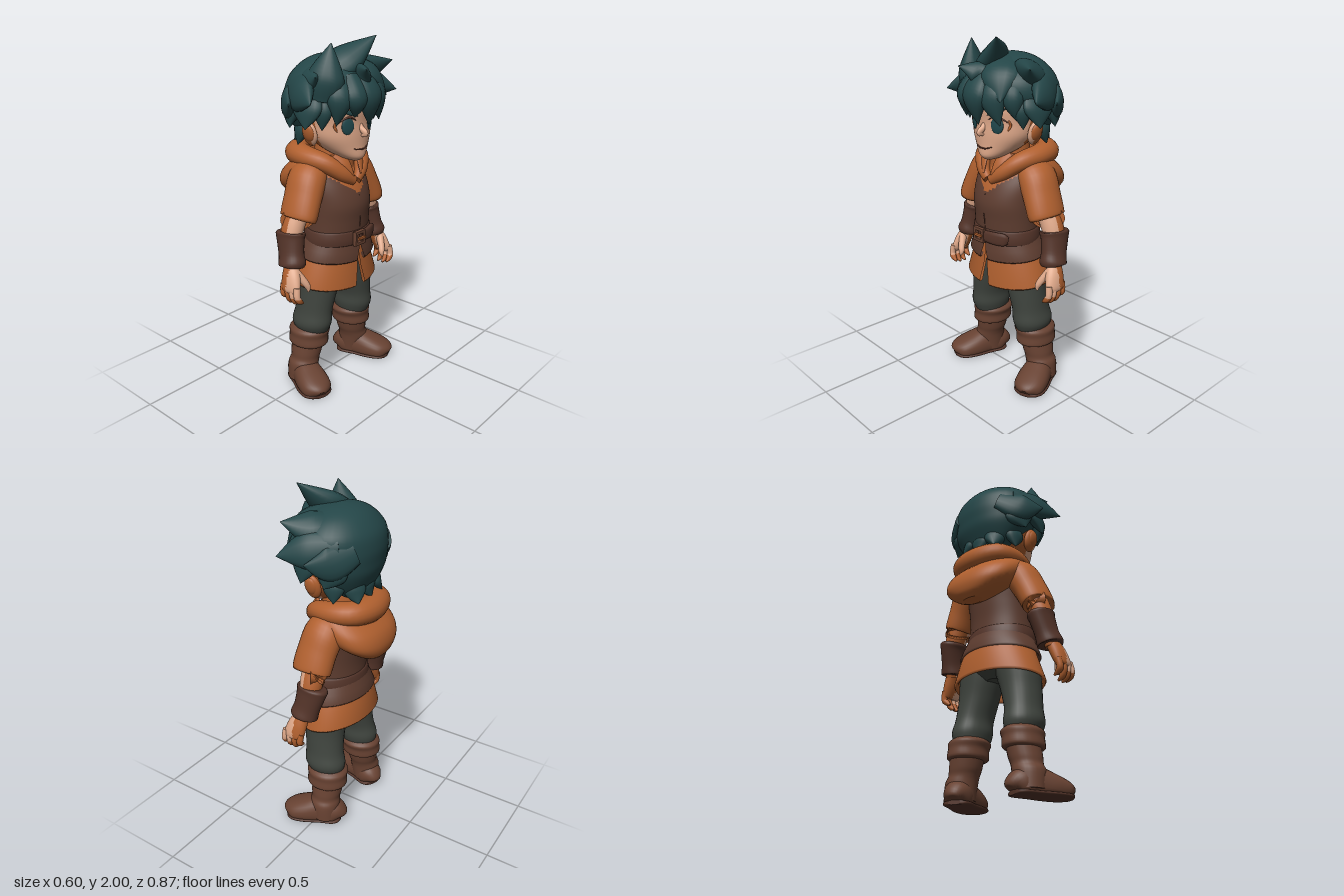
import * as THREE from 'three';

const mat = (name, color, side = THREE.FrontSide) => {
  const m = new THREE.MeshStandardMaterial({ color, side });
  m.name = name;
  return m;
};
const V = (x, y, z) => new THREE.Vector3(x, y, z);
const power = (v, e) => Math.sign(v) * Math.abs(v) ** e;

// Smoothly subdivide rows of numbers
function spline(rows, n) {
  const out = [];
  for (let i = 0; i < rows.length - 1; i++) {
    const p = [rows[Math.max(i - 1, 0)], rows[i], rows[i + 1], rows[Math.min(i + 2, rows.length - 1)]];
    for (let k = 0; k < n; k++) {
      const t = k / n;
      out.push(rows[i].map((_, c) => {
        const [a, b, d, e] = p.map((r) => r[c]);
        return b + 0.5 * t * (d - a + t * (2 * a - 5 * b + 4 * d - e + t * (3 * (b - d) + e - a)));
      }));
    }
  }
  out.push(rows[rows.length - 1]);
  return out;
}

// Skin over rounded sections [x, y, z, width, depth, frontGap]; flat = horizontal sections listed upward
function sweep(rows, { flat = false, ref = V(0, 0, 1), seg = 28, sub = 5, open = false, tilt = 0, pow = 1, floor = -1 } = {}) {
  const r = spline(rows, sub), pos = [], idx = [], cols = open ? seg + 1 : seg;
  const ctr = r.map((q) => V(q[0], q[1], q[2]));
  r.forEach((q, i) => {
    const T = flat ? V(0, 1, 0) : ctr[Math.min(i + 1, r.length - 1)].clone().sub(ctr[Math.max(i - 1, 0)]).normalize();
    const S = T.clone().cross(ref).normalize(), O = S.clone().cross(T);
    const gap = open ? q[5] : 0;
    for (let j = 0; j < cols; j++) {
      const th = gap + (j / seg) * (Math.PI * 2 - 2 * gap);
      const p = ctr[i].clone().addScaledVector(S, Math.max(q[3], 0.001) * power(Math.sin(th), pow))
        .addScaledVector(O, Math.max(q[4], 0.001) * power(Math.cos(th), pow));
      pos.push(p.x, Math.max(p.y - tilt * p.z, floor), p.z);
    }
  });
  for (let i = 0; i < r.length - 1; i++) for (let j = 0; j < seg; j++) {
    const a = i * cols + j, b = i * cols + (j + 1) % cols, c = b + cols, d = a + cols;
    idx.push(a, b, d, b, c, d);
  }
  if (!open) for (const e of [0, r.length - 1]) {
    const base = pos.length / 3;
    pos.push(...pos.slice(e * cols * 3, (e + 1) * cols * 3), ctr[e].x, ctr[e].y, ctr[e].z);
    for (let j = 0; j < seg; j++) {
      const a = base + j, b = base + (j + 1) % seg;
      idx.push(...(e ? [a, b, base + seg] : [b, a, base + seg]));
    }
  }
  const g = new THREE.BufferGeometry();
  g.setAttribute('position', new THREE.Float32BufferAttribute(pos, 3));
  g.setIndex(idx);
  g.computeVertexNormals();
  return g;
}

// Split faces into two material groups by a rule on the face centre
function paint(g, rule) {
  const ix = g.index.array, p = g.attributes.position, sets = [[], []];
  for (let i = 0; i < ix.length; i += 3) {
    const t = [ix[i], ix[i + 1], ix[i + 2]], c = V(0, 0, 0);
    t.forEach((k) => c.add(V(p.getX(k), p.getY(k), p.getZ(k)).divideScalar(3)));
    sets[rule(c) ? 1 : 0].push(...t);
  }
  g.setIndex([...sets[0], ...sets[1]]);
  g.addGroup(0, sets[0].length, 0);
  g.addGroup(sets[0].length, sets[1].length, 1);
  return g;
}

export function createModel() {
  const hair = mat('hair teal', 0x244648), skin = mat('skin', 0xe0a98a);
  const orange = mat('tunic orange', 0xb0602f, THREE.DoubleSide), vest = mat('vest brown', 0x5d3c2f, THREE.DoubleSide);
  const leather = mat('dark leather', 0x543429), boot = mat('boot brown', 0x684232);
  const pants = mat('trouser grey', 0x40453f), eye = mat('eye teal', 0x20474c), line = mat('face line', 0x5a3226);

  const body = new THREE.Group();
  body.name = 'figure';
  const add = (name, geo, m) => {
    const o = new THREE.Mesh(geo, m);
    o.name = name;
    body.add(o);
    return o;
  };
  const ball = (name, m, p, s, rule) => {
    const g = new THREE.SphereGeometry(1, 24, 16);
    const o = add(name, rule ? paint(g, rule) : g, m);
    o.position.set(...p);
    o.scale.set(...s);
    return o;
  };

  // Head and face
  const head = add('head', paint(sweep([[0, 1.345, 0.15, 0.03, 0.035], [0, 1.368, 0.122, 0.078, 0.083], [0, 1.42, 0.07, 0.142, 0.133],
    [0, 1.48, 0.04, 0.186, 0.162], [0, 1.55, 0.02, 0.203, 0.178], [0, 1.65, 0, 0.22, 0.2], [0, 1.8, 0, 0.18, 0.16], [0, 1.86, 0, 0.06, 0.06]],
  { flat: true, seg: 40 }), (c) => c.z < 0.05), [skin, orange]);
  const ray = new THREE.Raycaster();
  const onFace = (x, y) => {
    ray.set(V(x, y, 1), V(0, 0, -1));
    return ray.intersectObject(head)[0].point.z;
  };
  const stroke = (name, m, pts, w) => add(name, sweep(pts.map(([x, y], i) =>
    [x, y, onFace(x, y) + 0.001, i === 0 || i === pts.length - 1 ? 0.002 : w, 0.005]), { seg: 8 }), m);
  add('nose', sweep([[0, 1.55, 0.18, 0.012, 0.014], [0, 1.52, 0.2, 0.016, 0.016], [0, 1.496, 0.226, 0.012, 0.018],
    [0, 1.484, 0.205, 0.012, 0.008]], { seg: 14 }), skin);
  stroke('mouth', line, [[-0.055, 1.417], [-0.02, 1.41], [0.02, 1.41], [0.06, 1.422]], 0.004);
  for (const s of [1, -1]) {
    ball('eye', eye, [s * 0.09, 1.542, onFace(s * 0.09, 1.542)], [0.036, 0.045, 0.008]).rotation.y = s * 0.42;
    stroke('eyelash', line, [[s * 0.042, 1.57], [s * 0.09, 1.59], [s * 0.142, 1.56]], 0.006);
    stroke('eyeCorner', orange, [[s * 0.145, 1.572], [s * 0.15, 1.545], [s * 0.14, 1.515]], 0.011);
    stroke('eyebrow', hair, [[s * 0.035, 1.592], [s * 0.08, 1.612], [s * 0.14, 1.635]], 0.013);
    ball('ear', [skin, orange], [s * 0.222, 1.505, 0.03], [0.026, 0.07, 0.048], (c) => c.z < 0.35).rotation.z = -s * 0.25;
    ball('innerEar', orange, [s * 0.235, 1.51, 0.034], [0.02, 0.052, 0.038]).rotation.z = -s * 0.25;
  }

  // Hair cap and pointed locks
  add('hairCap', sweep([[0, 1.44, -0.1, 0.12, 0.06], [0, 1.5, -0.08, 0.185, 0.11], [0, 1.57, -0.06, 0.235, 0.16], [0, 1.63, -0.03, 0.265, 0.2],
    [0, 1.7, 0, 0.28, 0.235], [0, 1.78, 0.003, 0.268, 0.222], [0, 1.85, 0, 0.2, 0.165], [0, 1.89, -0.01, 0.11, 0.09], [0, 1.905, -0.02, 0.01, 0.01]],
  { flat: true, seg: 40 }), hair);
  const lock = (a, b, c, w, t) => add('hairLock', sweep([[...a, w * 0.7, t * 0.7], [...b, w, t], [...c, 0.002, 0.002]],
    { seg: 16, sub: 9, ref: V(...b).sub(V(0, 1.66, 0)).normalize() }), hair);
  lock([-0.16, 1.8, 0.05], [-0.02, 1.875, 0.11], [0.11, 1.995, 0.2], 0.1, 0.06);
  lock([-0.2, 1.68, 0.1], [-0.185, 1.8, 0.11], [-0.165, 1.97, 0.13], 0.1, 0.07);
  lock([-0.01, 1.75, 0.17], [-0.02, 1.81, 0.22], [-0.08, 1.842, 0.29], 0.06, 0.035);
  lock([0.1, 1.82, -0.06], [0.2, 1.81, 0.05], [0.31, 1.85, 0.16], 0.095, 0.06);
  lock([-0.12, 1.8, -0.06], [-0.21, 1.78, 0.04], [-0.285, 1.81, 0.13], 0.09, 0.06);
  lock([0.02, 1.86, 0.04], [0.1, 1.79, 0.16], [0.17, 1.68, 0.23], 0.11, 0.06);
  for (const s of [1, -1]) {
    lock([s * 0.2, 1.74, -0.12], [s * 0.275, 1.715, 0.03], [s * 0.355, 1.685, 0.16], 0.095, 0.05);
    lock([s * 0.15, 1.71, -0.18], [s * 0.255, 1.66, -0.09], [s * 0.345, 1.665, 0.0], 0.09, 0.04);
    lock([s * 0.22, 1.72, 0.03], [s * 0.26, 1.63, 0.05], [s * 0.29, 1.54, 0.06], 0.085, 0.035);
    lock([s * 0.2, 1.7, 0.1], [s * 0.215, 1.62, 0.115], [s * 0.215, 1.53, 0.11], 0.05, 0.03);
    lock([s * 0.2, 1.7, -0.1], [s * 0.235, 1.6, -0.085], [s * 0.27, 1.53, -0.07], 0.085, 0.035);
    lock([s * 0.16, 1.58, -0.06], [s * 0.18, 1.5, -0.07], [s * 0.2, 1.425, -0.08], 0.06, 0.035);
    lock([s * 0.09, 1.58, -0.13], [s * 0.1, 1.48, -0.15], [s * 0.12, 1.42, -0.185], 0.06, 0.035);
  }
  lock([0, 1.58, -0.15], [0, 1.48, -0.16], [0, 1.42, -0.19], 0.06, 0.035);
  for (const [x, tx, y, z, w] of [[-0.16, -0.17, 1.555, 0.17, 0.07], [-0.09, -0.09, 1.595, 0.225, 0.065], [0.0, 0.01, 1.545, 0.24, 0.085],
    [0.1, 0.14, 1.55, 0.205, 0.075], [0.18, 0.2, 1.575, 0.14, 0.06]])
    lock([x * 0.8, 1.8, z - 0.05], [x, 1.69, z + 0.01], [tx, y, z], w, 0.05);

  // Neck, hood and collar
  add('neck', new THREE.CylinderGeometry(0.1, 0.12, 0.2, 24).translate(0, 1.36, 0.0), orange);
  add('hood', sweep([[0, 1.085, -0.22, 0.06, 0.04], [0, 1.12, -0.205, 0.135, 0.085], [0, 1.18, -0.165, 0.21, 0.135],
    [0, 1.25, -0.105, 0.24, 0.17], [0, 1.32, -0.05, 0.228, 0.155], [0, 1.37, -0.04, 0.17, 0.12]], { flat: true, seg: 40, pow: 0.87 }), orange);
  const half = [[0.012, 1.225, 0.16, 0.022, 0.026], [0.08, 1.275, 0.132, 0.038, 0.042], [0.143, 1.335, 0.06, 0.055, 0.052], [0.165, 1.355, -0.05, 0.065, 0.06]];
  add('collar', sweep([...half, [0.125, 1.36, -0.15, 0.075, 0.067], [0, 1.355, -0.185, 0.08, 0.075], [-0.125, 1.36, -0.15, 0.075, 0.067],
    ...half.slice().reverse().map(([x, ...q]) => [-x, ...q])], { ref: V(0, 1, 0), seg: 20 }), orange);
  for (const s of [1, -1])
    add('collarFlap', sweep([[s * 0.09, 1.38, 0.09, 0.03, 0.01], [s * 0.06, 1.33, 0.14, 0.03, 0.01], [s * 0.03, 1.26, 0.175, 0.004, 0.005]], { seg: 10 }), orange);

  // Torso with V neckline, belt and layered skirts
  add('vest', paint(sweep([[0, 0.88, 0.03, 0.198, 0.16], [0, 1.0, 0.035, 0.196, 0.163], [0, 1.1, 0.033, 0.2, 0.17], [0, 1.2, 0.012, 0.207, 0.158],
    [0, 1.29, -0.02, 0.2, 0.13], [0, 1.36, -0.02, 0.12, 0.1]], { flat: true, seg: 64, sub: 8 }),
  (c) => c.y > 1.3 || (c.z > 0 && c.y > 1.155 + 0.75 * Math.abs(c.x))), [vest, orange]);
  add('vestSeam', sweep([[0, 0.94, 0.192, 0.003, 0.003], [0, 1.03, 0.2, 0.003, 0.003], [0, 1.15, 0.19, 0.003, 0.003]], { seg: 6 }), leather);
  add('belt', sweep([[0, 0.868, 0.03, 0.2, 0.16], [0, 0.875, 0.03, 0.213, 0.175], [0, 0.94, 0.032, 0.207, 0.17], [0, 0.95, 0.032, 0.195, 0.16]],
    { flat: true, seg: 40, sub: 2 }), leather);
  add('beltEnd', sweep([[-0.01, 0.91, 0.21, 0.03, 0.012], [0.07, 0.91, 0.2, 0.036, 0.014], [0.13, 0.908, 0.175, 0.036, 0.014], [0.15, 0.905, 0.157, 0.02, 0.008]],
    { seg: 16, pow: 0.7 }), leather);
  const corners = (w, h) => [[-w, -h], [w, -h], [w, h], [-w, h]].map((p) => new THREE.Vector2(...p));
  const frame = new THREE.Shape(corners(0.038, 0.038));
  frame.holes.push(new THREE.Path(corners(0.026, 0.026)));
  add('buckle', new THREE.ExtrudeGeometry(frame, { depth: 0.018, bevelSize: 0.003, bevelThickness: 0.003, bevelSegments: 2 }).translate(-0.025, 0.91, 0.205), boot);
  add('bucklePin', new THREE.BoxGeometry(0.06, 0.012, 0.014).translate(-0.02, 0.91, 0.228), orange);
  add('vestSkirt', sweep([[0, 0.9, 0.025, 0.19, 0.15, 0], [0, 0.8, 0.018, 0.235, 0.175, 0.12], [0, 0.79, 0.018, 0.246, 0.186, 0.13],
    [0, 0.8, 0.018, 0.253, 0.191, 0.12], [0, 0.85, 0.022, 0.23, 0.182, 0.05], [0, 0.9, 0.028, 0.205, 0.168, 0]],
  { flat: true, seg: 56, sub: 1, open: true, tilt: 0.11 }), vest);
  add('tunicSkirt', sweep([[0, 0.88, 0.015, 0.18, 0.145, 0], [0, 0.65, 0.01, 0.265, 0.18, 0.13], [0, 0.638, 0.01, 0.28, 0.193, 0.14],
    [0, 0.65, 0.01, 0.288, 0.2, 0.13], [0, 0.76, 0.01, 0.248, 0.185, 0.05], [0, 0.88, 0.02, 0.2, 0.165, 0]],
  { flat: true, seg: 56, sub: 1, open: true, tilt: 0.14 }), orange);
  add('hips', sweep([[0, 0.66, 0.01, 0.06, 0.08], [0, 0.74, 0.01, 0.19, 0.14], [0, 0.88, 0.01, 0.18, 0.14]], { flat: true }), pants);

  for (const s of [1, -1]) {
    const mir = (rows) => rows.map(([x, ...q]) => [s * x, ...q]);
    // Arm
    add('sleeve', sweep(mir([[0.1, 1.3, -0.03, 0.06, 0.085], [0.185, 1.25, -0.02, 0.095, 0.113], [0.245, 1.15, -0.005, 0.088, 0.115],
      [0.288, 1.055, 0.003, 0.082, 0.115], [0.292, 1.045, 0.003, 0.07, 0.1]])), orange);
    add('forearm', paint(sweep(mir([[0.27, 1.1, -0.01, 0.06, 0.065], [0.315, 1.0, -0.015, 0.06, 0.065], [0.345, 0.9, -0.01, 0.05, 0.055],
      [0.365, 0.78, 0.015, 0.036, 0.045]])), (c) => c.z < 0), [skin, orange]);
    add('bracer', sweep(mir([[0.322, 0.972, -0.026, 0.058, 0.08], [0.324, 0.962, -0.025, 0.07, 0.092], [0.331, 0.93, -0.02, 0.064, 0.086],
      [0.345, 0.85, -0.002, 0.062, 0.077], [0.354, 0.8, 0.012, 0.071, 0.08], [0.356, 0.788, 0.014, 0.06, 0.066]]), { sub: 4 }), leather);
    // Hand
    add('palm', paint(sweep(mir([[0.365, 0.8, 0.015, 0.034, 0.042], [0.388, 0.74, 0.035, 0.038, 0.058], [0.408, 0.68, 0.05, 0.03, 0.062],
      [0.411, 0.66, 0.052, 0.016, 0.05]])), (c) => c.z < 0.04), [skin, orange]);
    for (let k = 0; k < 4; k++) {
      const z = -0.002 + 0.034 * k, drop = k === 0 ? 0.02 : k === 3 ? 0.01 : 0;
      add('finger', paint(sweep(mir([[0.41, 0.7, z, 0.018, 0.019], [0.417, 0.65, z + 0.006, 0.018, 0.019], [0.402, 0.612 + drop, z + 0.01, 0.017, 0.017],
        [0.375, 0.593 + drop, z + 0.01, 0.006, 0.006]]), { seg: 12 }), (c) => k < 2 || c.y < 0.64), [skin, orange]);
    }
    add('thumb', sweep(mir([[0.37, 0.77, 0.055, 0.02, 0.025], [0.345, 0.715, 0.09, 0.02, 0.02], [0.33, 0.68, 0.105, 0.016, 0.016],
      [0.333, 0.655, 0.11, 0.005, 0.005]]), { seg: 12 }), skin);
    // Leg
    add('trouserLeg', sweep(mir([[0.178, 0.33, -0.01, 0.08, 0.105], [0.182, 0.36, -0.008, 0.094, 0.118], [0.182, 0.4, -0.004, 0.102, 0.125],
      [0.174, 0.47, 0.004, 0.097, 0.116], [0.153, 0.58, 0.013, 0.11, 0.118], [0.13, 0.7, 0.013, 0.125, 0.125], [0.1, 0.82, 0.01, 0.1, 0.13]]), { flat: true }), pants);
    // Boot
    add('bootShaft', sweep(mir([[0.235, 0.03, -0.04, 0.085, 0.085], [0.23, 0.12, -0.033, 0.088, 0.09], [0.216, 0.16, -0.03, 0.083, 0.086],
      [0.206, 0.2, -0.03, 0.088, 0.092], [0.19, 0.28, -0.03, 0.09, 0.1]]), { flat: true }), boot);
    add('bootCuff', sweep(mir([[0.193, 0.243, -0.025, 0.09, 0.1], [0.193, 0.255, -0.025, 0.107, 0.122], [0.19, 0.3, -0.025, 0.106, 0.12],
      [0.184, 0.335, -0.023, 0.112, 0.124], [0.182, 0.356, -0.02, 0.09, 0.105]]), { flat: true, sub: 4 }), boot);
    // Foot rows: distance forward, half width, height
    const foot = [[-0.122, 0.03, 0.06], [-0.11, 0.058, 0.1], [-0.075, 0.076, 0.135], [0, 0.08, 0.155], [0.09, 0.092, 0.127], [0.16, 0.088, 0.1],
      [0.197, 0.065, 0.08], [0.213, 0.03, 0.055]];
    const upper = sweep(foot.map(([z, w, h]) => [0, h * 0.4, z, w, h * 0.6]), { ref: V(0, 1, 0), pow: 0.9, floor: 0.012 });
    const sole = sweep(foot.map(([z, w]) => [0, 0.012, z, w + 0.003, 0.012]), { ref: V(0, 1, 0), pow: 0.6 });
    for (const [name, g, m] of [['foot', upper, boot], ['sole', sole, leather]]) {
      const o = add(name, g, m);
      o.position.set(s * 0.24, 0, -0.012);
      o.rotation.y = s * 0.38;
    }
  }

  // The figure faces +x
  body.rotation.y = Math.PI / 2;
  const root = new THREE.Group();
  root.name = 'adventurer';
  root.add(body);
  return root;
}
